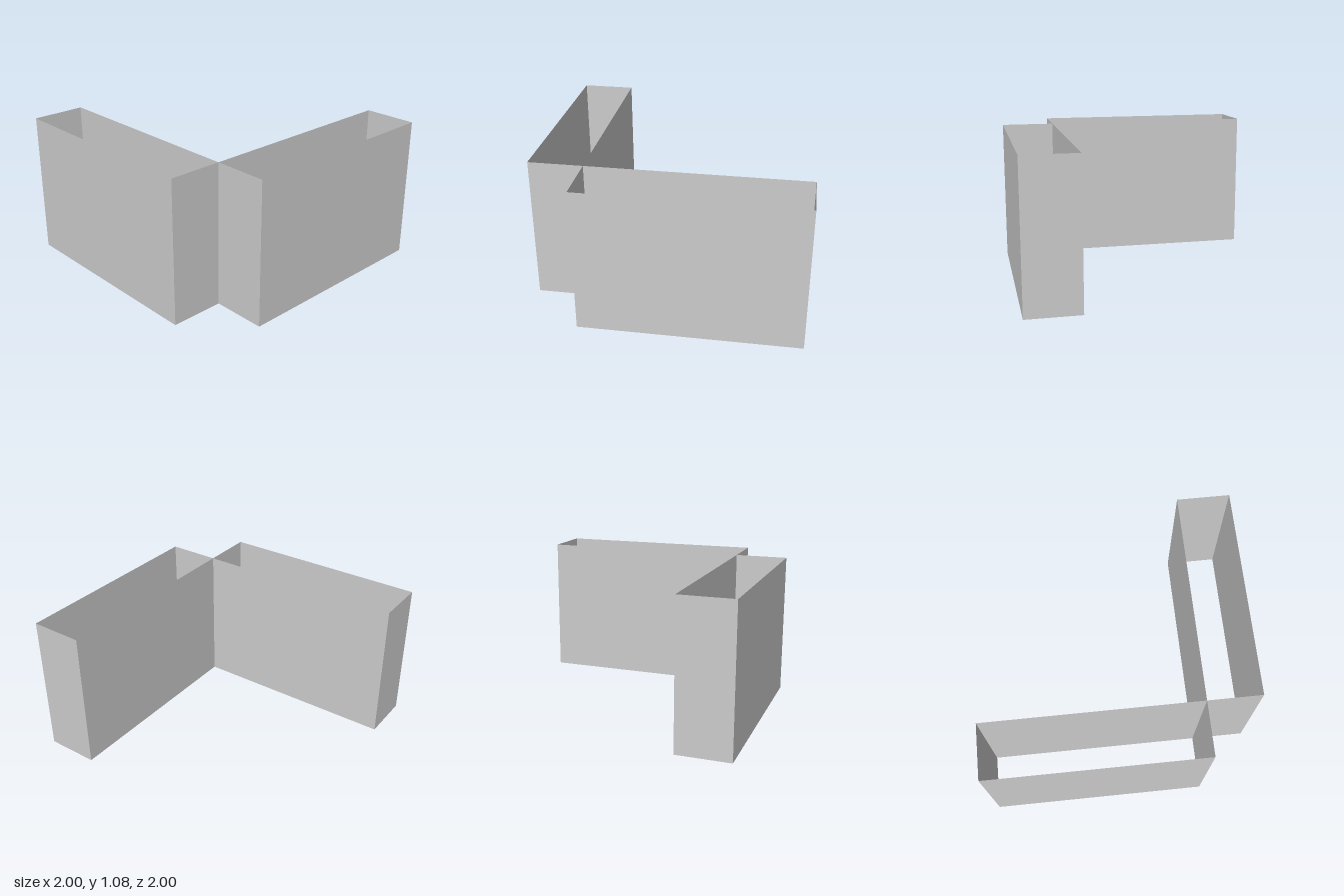
import * as THREE from 'three';

const HEIGHT = 1.076;

// Rectangular sleeve: four thin walls, open at the top and bottom
function sleeve(name, x0, x1, z0, z1) {
  const corners = [[x0, z1], [x1, z1], [x1, z0], [x0, z0]];
  const positions = [];
  corners.forEach(([ax, az], i) => {
    const [bx, bz] = corners[(i + 1) % 4];
    positions.push(
      ax, 0, az, bx, 0, bz, bx, HEIGHT, bz,
      ax, 0, az, bx, HEIGHT, bz, ax, HEIGHT, az
    );
  });
  const geometry = new THREE.BufferGeometry();
  geometry.setAttribute('position', new THREE.Float32BufferAttribute(positions, 3));
  geometry.computeVertexNormals();
  const material = new THREE.MeshStandardMaterial({
    color: 0xcccccc, flatShading: true, side: THREE.DoubleSide,
  });
  const mesh = new THREE.Mesh(geometry, material);
  mesh.name = name;
  return mesh;
}

export function createModel() {
  const model = new THREE.Group();
  model.name = 'cornerWalls';
  // Two equal sleeves at right angles, touching along one vertical edge
  model.add(sleeve('frontWall', -0.6, 1, 0.6, 1));
  model.add(sleeve('sideWall', -1, -0.6, -1, 0.6));
  return model;
}
